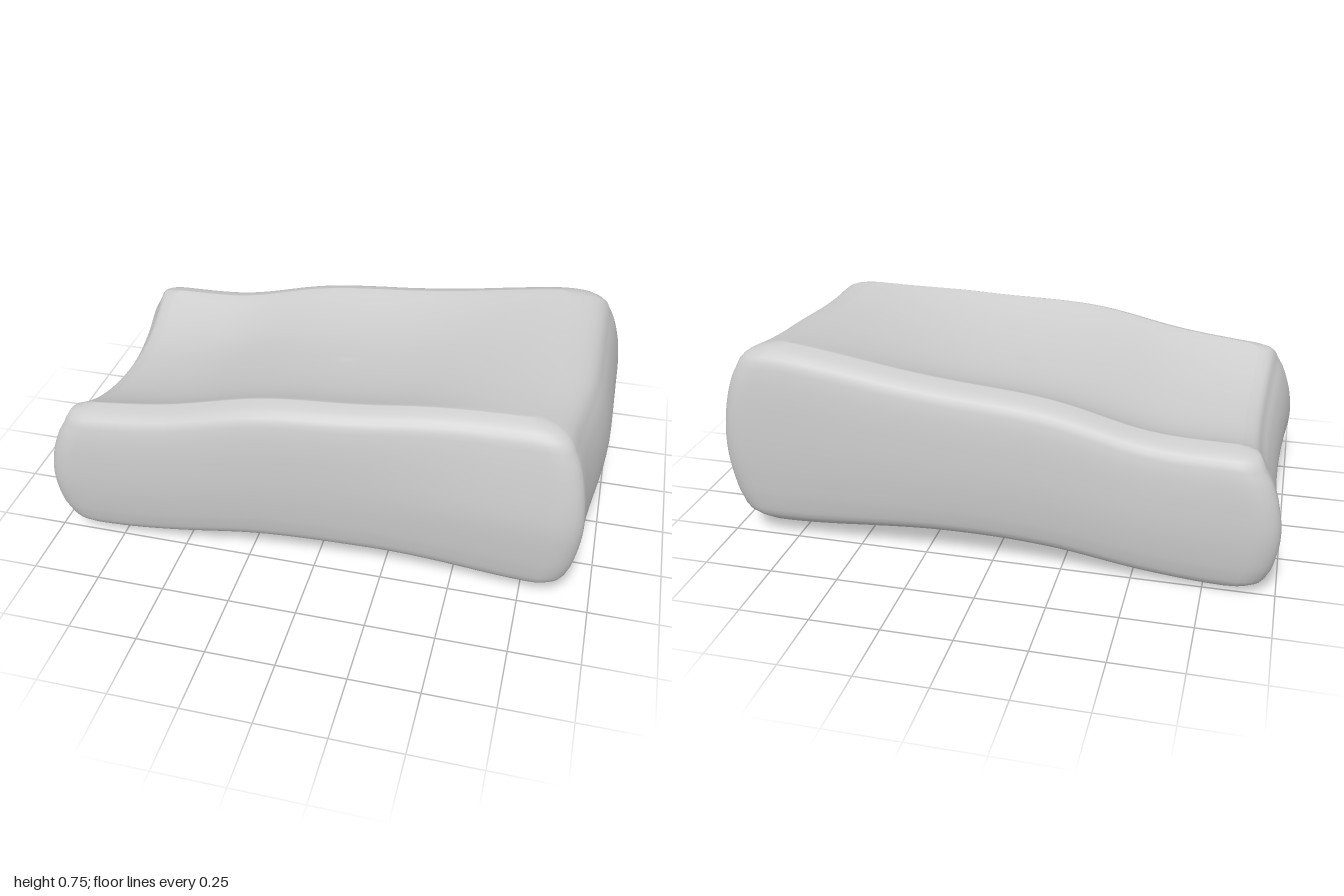
import * as THREE from 'three';

// smooth curve through a few samples, clamped outside its range
const curve = (t, v) => {
  const c = new THREE.CubicInterpolant(t, v, 1);
  return x => c.evaluate(Math.min(t[t.length - 1] - 1e-6, Math.max(t[0], x)))[0];
};
const { smoothstep: step, lerp } = THREE.MathUtils;

// heights along x of the rims, the sag of the back rim, and the hollows above and below
const rimHeight = curve([-1, -0.87, -0.55, -0.2, 0.2, 0.6, 0.78, 1], [0.55, 0.56, 0.6, 0.675, 0.7, 0.73, 0.74, 0.735]);
const backSag = curve([-1, -0.87, -0.55, -0.25, 0.1, 0.5, 0.75], [0.02, 0.025, 0.05, 0.045, 0.03, 0.01, 0]);
const baseHeight = curve([-1, -0.8, -0.55, -0.2, 0.2, 0.77, 1], [0.015, 0.01, 0.03, 0.074, 0.08, 0.04, 0.045]);
const hollowDepth = curve([-1, -0.8, -0.4, 0.2, 0.72, 1], [0.12, 0.115, 0.095, 0.08, 0.035, 0.035]);
const archDepth = curve([-1, -0.8, 0, 0.8, 1], [0.025, 0.03, 0.05, 0.04, 0.035]);
const frontTaper = curve([-0.9, -0.6, 0, 0.5, 0.9], [0, 0.002, 0.03, 0.05, 0.04]);

// rounding of the edges from bottom to top, and the extra roll of the ends
const sideInset = curve([0, 0.02, 0.065, 0.15, 0.27, 0.45, 0.65, 0.78, 0.87, 0.94, 0.98, 1],
  [0.115, 0.077, 0.037, 0.018, 0.007, 0, 0.003, 0.01, 0.02, 0.037, 0.073, 0.115]);
const endRoll = curve([0, 0.45, 0.65, 0.8, 0.93, 1], [0, 0, 0.01, 0.025, 0.035, 0]);

// 1 along the middle, falling to 0 at the long rims
const across = (z, power) => 1 - Math.min(1, Math.abs(z) / 0.44) ** power;
const topY = (x, z) => rimHeight(x) - backSag(x) * step(-z, -0.25, 0.44)
  - hollowDepth(x) * across(z, 2.3) - 0.017 * step(x, 0.3, 0.8) * z / 0.44;
const bottomY = (x, z) => baseHeight(x) + archDepth(x) * across(z, 2) + 0.01 * z / 0.44 * step(-x, -0.2, 0.6);

// rectangle with elliptical corners in plan; the ends round off further than the long sides
function outline(level) {
  const inset = sideInset(level), roll = endRoll(level);
  const rx = 0.1 - inset * 0.4, rz = 0.06 - inset * 0.2;
  const tallX = 1 - inset * 1.9 - roll * 0.6 - rx;
  const lowX = 1 - inset * lerp(1.75, 1.2, level) - roll - rx;
  const cz = 0.555 - inset - rz;
  const corners = [[tallX, cz], [-lowX, cz], [-lowX, -cz], [tallX, -cz]];
  const point = (k, a) => [corners[k][0] + rx * Math.cos(a), corners[k][1] + rz * Math.sin(a)];
  const pts = [];
  for (let k = 0; k < 4; k++) {
    for (let i = 0; i <= 6; i++) pts.push(point(k, (k + i / 6) * Math.PI / 2));
    // straight run to the next corner
    const a = (k + 1) * Math.PI / 2;
    const [px, pz] = point(k, a), [qx, qz] = point((k + 1) % 4, a);
    const n = k % 2 ? 20 : 34;
    for (let i = 1; i < n; i++) pts.push([lerp(px, qx, i / n), lerp(pz, qz, i / n)]);
  }
  return pts;
}

// taper and lean of the front side, slant of the tall end, waist of the low end
function warp(x, z, level) {
  const wx = x > 0 ? x * (1 - 0.055 * step(z, -0.1, 0.5))
    : x * (1 - 0.03 * Math.max(0, 1 - (z / 0.5) ** 2));
  const lean = 0.035 * step(level, 0.4, 1) * step(x, 0, 0.8);
  const wz = z > 0 ? z * (1 - (frontTaper(x) + lean) / 0.555) : z;
  return [wx, wz];
}

function cushionGeometry() {
  // rings: [level between bottom and top, scale towards the centre]
  const rings = [];
  const capSteps = 14, levels = 32;
  for (let i = 0; i < capSteps; i++) rings.push([0, i / capSteps]);
  for (let i = 0; i <= levels; i++) rings.push([0.5 - 0.5 * Math.cos(Math.PI * i / levels), 1]);
  for (let i = capSteps - 1; i >= 0; i--) rings.push([1, i / capSteps]);

  const pos = [], idx = [];
  const n = outline(0).length;
  for (const [level, s] of rings) {
    for (const [px, pz] of outline(level)) {
      const x = px * s, z = pz * s;
      const [wx, wz] = warp(x, z, level);
      pos.push(wx, lerp(bottomY(x, z), topY(x, z), level), wz);
    }
  }
  for (let j = 0; j < rings.length - 1; j++) {
    for (let i = 0; i < n; i++) {
      const a = j * n + i, b = j * n + (i + 1) % n;
      if (rings[j + 1][1] > 0) idx.push(a, a + n, b + n);
      if (rings[j][1] > 0) idx.push(a, b + n, b);
    }
  }
  const g = new THREE.BufferGeometry();
  g.setAttribute('position', new THREE.Float32BufferAttribute(pos, 3));
  g.setIndex(idx);
  g.computeVertexNormals();
  // centre points of the caps get straight normals
  const nor = g.attributes.normal;
  for (let i = 0; i < n; i++) {
    nor.setXYZ(i, 0, -1, 0);
    nor.setXYZ((rings.length - 1) * n + i, 0, 1, 0);
  }
  g.computeBoundingBox();
  g.translate(0, -g.boundingBox.min.y, 0);
  return g;
}

export function createModel() {
  const group = new THREE.Group();
  group.name = 'cushionBlock';
  const body = new THREE.Mesh(cushionGeometry(), new THREE.MeshStandardMaterial({ color: 0xcccccc }));
  body.name = 'cushionBody';
  group.add(body);
  return group;
}
